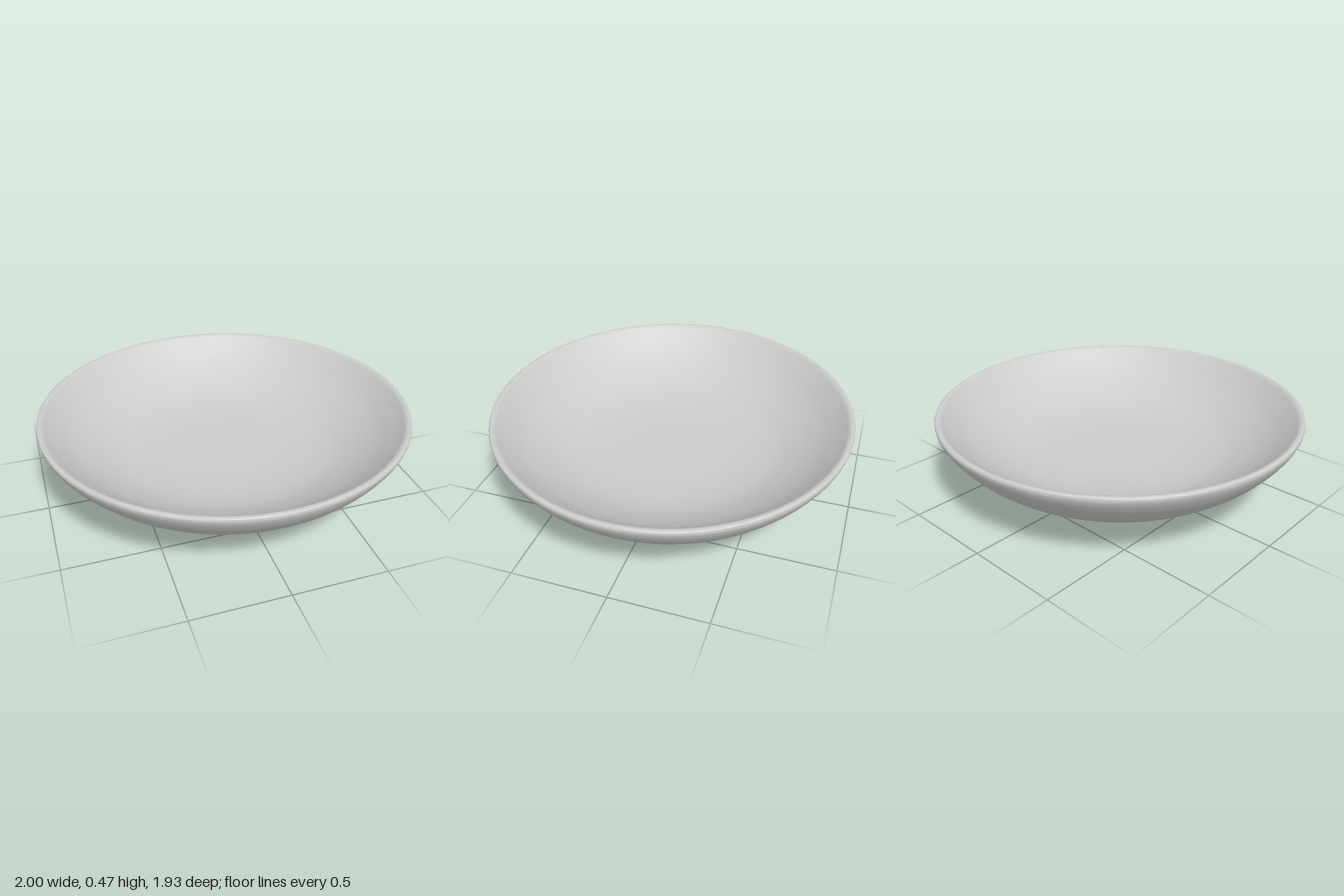
import * as THREE from 'three';
import { toCreasedNormals } from 'three/addons/utils/BufferGeometryUtils.js';

const material = new THREE.MeshStandardMaterial({ color: 0xcccccc });
const SEGMENTS = 96;

// Sample a smooth curve through a few [radius, height] points
const curve = (points, n) =>
  new THREE.SplineCurve(points.map(([r, y]) => new THREE.Vector2(r, y))).getPoints(n);

// Turn a profile into a slightly oval, slightly leaning solid, as if hand-thrown
function turned(name, profile) {
  profile.forEach((p) => { p.x = Math.max(p.x, 0); });
  const geometry = new THREE.LatheGeometry(profile, SEGMENTS);
  geometry.scale(1, 1, 0.967);
  const pos = geometry.attributes.position;
  for (let i = 0; i < pos.count; i++) {
    pos.setY(i, pos.getY(i) + 0.008 * (pos.getZ(i) - pos.getX(i)));
  }
  const mesh = new THREE.Mesh(toCreasedNormals(geometry, 0.7), material);
  mesh.name = name;
  return mesh;
}

export function createModel() {
  const group = new THREE.Group();
  group.name = 'footedBowl';

  // Bowl: full outside wall, upright rounded lip, then a shallow dished inside
  const outside = curve([
    [0, 0.097], [0.3, 0.097], [0.48, 0.101], [0.61, 0.122], [0.74, 0.173],
    [0.86, 0.259], [0.94, 0.34], [0.983, 0.4], [0.998, 0.432],
  ], 40);
  const lip = curve([[1, 0.445], [0.997, 0.456], [0.985, 0.46], [0.968, 0.455]], 6);
  const inside = curve([
    [0.957, 0.443], [0.9, 0.394], [0.82, 0.333], [0.7, 0.265],
    [0.56, 0.212], [0.35, 0.183], [0, 0.178],
  ], 32);
  group.add(turned('bowl', [...outside, ...lip, ...inside]));

  // Foot: short ring flaring towards a closed base
  const foot = [[0, 0.007], [0.41, 0.006], [0.424, 0.009], [0.427, 0.018], [0.41, 0.11]]
    .map(([r, y]) => new THREE.Vector2(r, y));
  group.add(turned('foot', foot));

  return group;
}
